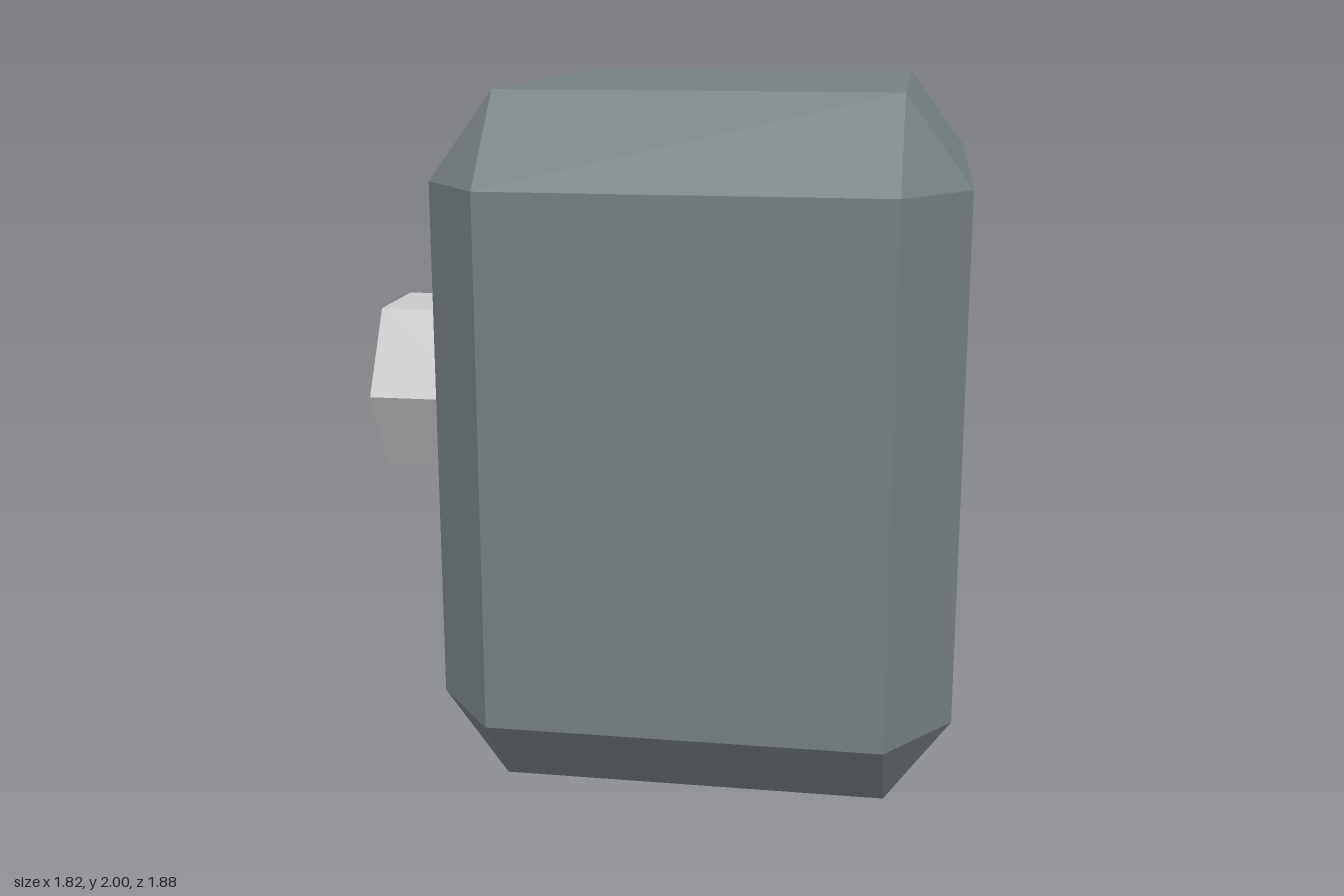
import * as THREE from 'three';
import { ConvexGeometry } from 'three/addons/geometries/ConvexGeometry.js';

// Box with cut edges and corners: outer half sizes h, flat half sizes f
function chamferedBox(h, f) {
  const points = [];
  for (const sx of [-1, 1]) for (const sy of [-1, 1]) for (const sz of [-1, 1]) {
    points.push(
      new THREE.Vector3(sx * h.x, sy * f.y, sz * f.z),
      new THREE.Vector3(sx * f.x, sy * h.y, sz * f.z),
      new THREE.Vector3(sx * f.x, sy * f.y, sz * h.z)
    );
  }
  return new ConvexGeometry(points);
}

export function createModel() {
  const group = new THREE.Group();
  group.name = 'chamferedBlockWithPeg';

  const slate = new THREE.MeshStandardMaterial({ color: 0x757f82, flatShading: true });
  slate.name = 'slateGrey';
  const light = new THREE.MeshStandardMaterial({ color: 0xc9c9c9, flatShading: true });
  light.name = 'lightGrey';

  // Main block
  const body = new THREE.Mesh(
    chamferedBox(new THREE.Vector3(0.737, 1, 0.94), new THREE.Vector3(0.553, 0.75, 0.705)),
    slate
  );
  body.name = 'body';
  body.position.set(0.17, 1, 0);
  group.add(body);

  // Hexagonal peg on the right side, sunk slightly into the block
  const left = -0.54, right = -0.908;
  const pegGeometry = new THREE.CylinderGeometry(0.295, 0.295, left - right, 6);
  pegGeometry.rotateZ(Math.PI / 2);
  const peg = new THREE.Mesh(pegGeometry, light);
  peg.name = 'peg';
  peg.position.set((left + right) / 2, 1.03, 0);
  group.add(peg);

  return group;
}
